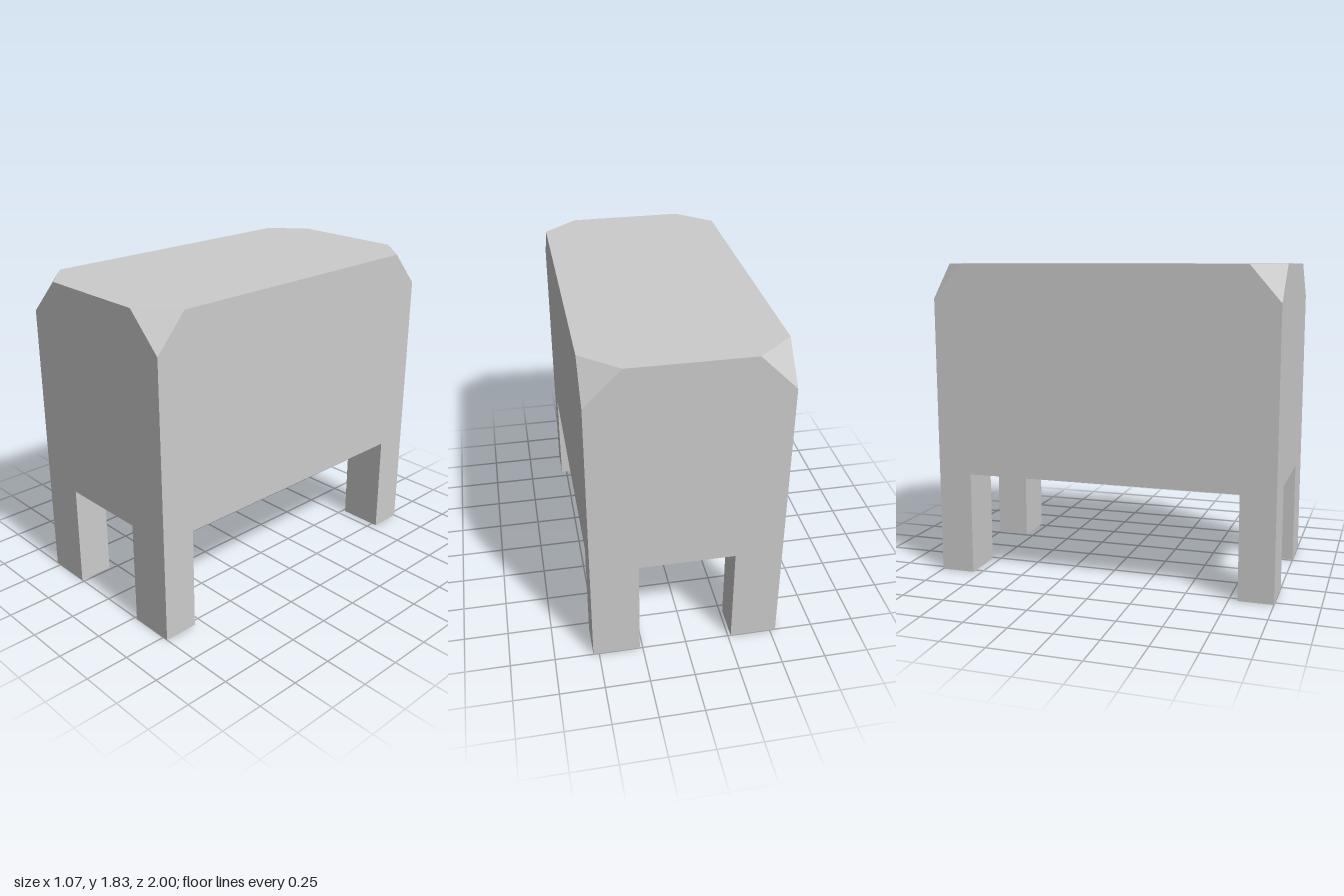
import * as THREE from 'three';
import { ConvexGeometry } from 'three/addons/geometries/ConvexGeometry.js';

const HALF_W = 0.533, HALF_D = 1, TOP = 1.826, LEG_H = 0.6;
const LEG_W = 0.266, LEG_D = 0.2;
const CUT = { x: 0.2, y: 0.2, z: 0.174 };

export function createModel() {
  const group = new THREE.Group();
  const material = new THREE.MeshStandardMaterial({ color: 0xcccccc, flatShading: true });
  const corners = [[1, 1, 'frontLeft'], [-1, 1, 'frontRight'], [1, -1, 'backLeft'], [-1, -1, 'backRight']];

  // Body: a box whose four top corners are sliced off
  const points = [];
  for (const [sx, sz] of corners) {
    const x = sx * HALF_W, z = sz * HALF_D;
    points.push(
      new THREE.Vector3(x, LEG_H, z),
      new THREE.Vector3(x, TOP - CUT.y, z),
      new THREE.Vector3(x - sx * CUT.x, TOP, z),
      new THREE.Vector3(x, TOP, z - sz * CUT.z)
    );
  }
  const body = new THREE.Mesh(new ConvexGeometry(points), material);
  body.name = 'body';
  group.add(body);

  // Legs: one square post flush with each bottom corner
  const legGeometry = new THREE.BoxGeometry(LEG_W, LEG_H, LEG_D);
  for (const [sx, sz, name] of corners) {
    const leg = new THREE.Mesh(legGeometry, material);
    leg.name = name + 'Leg';
    leg.position.set(sx * (HALF_W - LEG_W / 2), LEG_H / 2, sz * (HALF_D - LEG_D / 2));
    group.add(leg);
  }
  return group;
}
